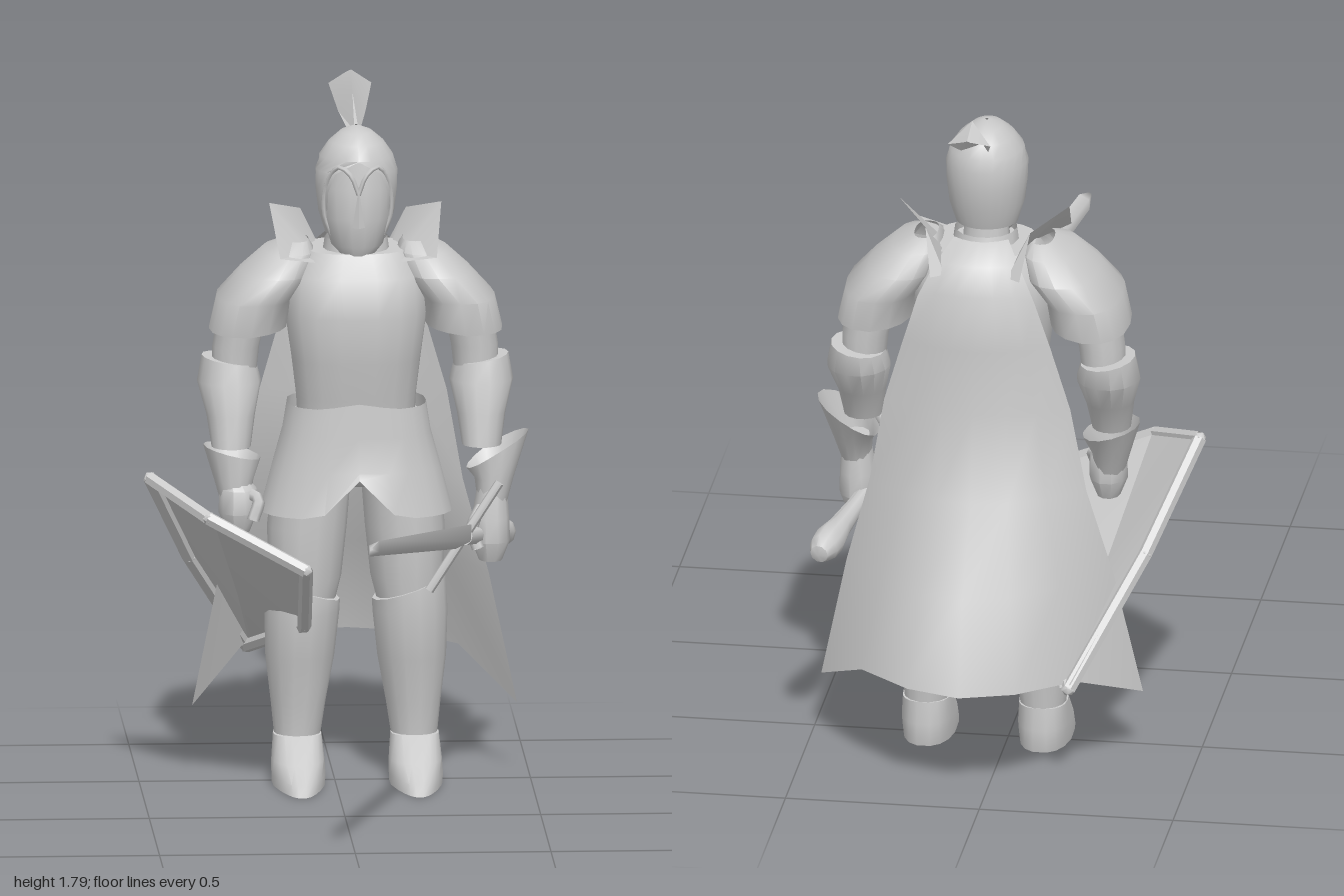
import * as THREE from 'three';
import { toCreasedNormals } from 'three/addons/utils/BufferGeometryUtils.js';

const CX = 0.055; // body centre line
const mat = new THREE.MeshStandardMaterial({ color: 0xcccccc, side: THREE.DoubleSide });
const V = (x, y, z) => new THREE.Vector3(x, y, z);

function add(parent, name, geo, crease = 0.8) {
  const mesh = new THREE.Mesh(crease ? toCreasedNormals(geo, crease) : geo, mat);
  mesh.name = name;
  parent.add(mesh);
  return mesh;
}

// Surface through rows of points; caps close the first and last rows
function grid(rows, caps = false) {
  const n = rows[0].length, pos = [], idx = [];
  rows.forEach(r => r.forEach(p => pos.push(p.x, p.y, p.z)));
  for (let i = 0; i < rows.length - 1; i++) {
    for (let j = 0; j < n - 1; j++) {
      const a = i * n + j, b = a + 1, c = a + n, d = c + 1;
      idx.push(b, a, c, b, c, d);
    }
  }
  if (caps) [0, rows.length - 1].forEach((i, top) => {
    const m = rows[i].reduce((s, p) => s.add(p), V(0, 0, 0)).divideScalar(n);
    const k = pos.length / 3;
    pos.push(m.x, m.y, m.z);
    for (let j = 0; j < n - 1; j++) {
      const a = i * n + j;
      if (top) idx.push(a + 1, a, k); else idx.push(a, a + 1, k);
    }
  });
  const g = new THREE.BufferGeometry();
  g.setAttribute('position', new THREE.Float32BufferAttribute(pos, 3));
  g.setIndex(idx);
  return g;
}

// Rings listed bottom to top: [y, centre x, half width, front z, back z]
function loft(rings, { n = 14, pow = 1, caps = true, edit } = {}) {
  const sp = (v, p) => Math.sign(v) * Math.pow(Math.abs(v), p);
  return grid(rings.map(([y, x, w, zf, zb], i) => Array.from({ length: n + 1 }, (_, j) => {
    const a = (j % n) / n * Math.PI * 2;
    const p = V(x + w * sp(Math.cos(a), pow), y, (zf + zb) / 2 + (zf - zb) / 2 * sp(Math.sin(a), pow));
    if (edit) edit(p, i);
    return p;
  })), caps);
}

function tube(points, r, sides = 5, seg = 16) {
  return new THREE.TubeGeometry(new THREE.CatmullRomCurve3(points), seg, r, sides);
}

function buildHead(g) {
  add(g, 'face', loft([
    [1.37, CX, 0.04, -0.41, -0.50], [1.40, CX, 0.066, -0.395, -0.53],
    [1.47, CX, 0.086, -0.385, -0.57], [1.55, CX, 0.092, -0.385, -0.58], [1.62, CX, 0.08, -0.395, -0.57]]));
  add(g, 'nose', new THREE.ConeGeometry(0.016, 0.1, 4).translate(CX, 1.505, -0.382));
  // Helmet shell, opened around the face: [y, half width, front z, back z, opening angle]
  const shell = [
    [1.425, 0.08, -0.42, -0.58, 0.95], [1.48, 0.097, -0.40, -0.60, 0.92], [1.54, 0.104, -0.382, -0.612, 0.82],
    [1.59, 0.105, -0.38, -0.615, 0.6], [1.625, 0.095, -0.385, -0.61, 0], [1.66, 0.07, -0.41, -0.595, 0],
    [1.685, 0.04, -0.445, -0.565, 0], [1.7, 0.004, -0.50, -0.51, 0]];
  add(g, 'helmet', grid(shell.map(([y, w, zf, zb, o]) => Array.from({ length: 19 }, (_, j) => {
    const a = Math.PI / 2 + o + (Math.PI * 2 - 2 * o) * j / 18;
    return V(CX + w * Math.cos(a), y, (zf + zb) / 2 + (zf - zb) / 2 * Math.sin(a));
  }))), 1.2);
  for (const s of [-1, 1]) add(g, 'helmetRim', tube([
    V(CX, 1.54, -0.384), V(CX + s * 0.02, 1.59, -0.385), V(CX + s * 0.05, 1.61, -0.398),
    V(CX + s * 0.08, 1.56, -0.427), V(CX + s * 0.085, 1.48, -0.443), V(CX + s * 0.066, 1.425, -0.452)], 0.006), 0);
  // Folded feather, ridge along the middle
  const leaf = [[0.012, 1.668, -0.59, 1.66, -0.59], [0.035, 1.75, -0.69, 1.695, -0.715],
    [0.055, 1.795, -0.755, 1.75, -0.81], [0.008, 1.775, -0.845, 1.772, -0.845]];
  add(g, 'plume', grid(leaf.map(([w, y, z, ys, zs]) => [V(CX - w, ys, zs), V(CX, y, z), V(CX + w, ys, zs)])), 0.4);
}

function buildTorso(g) {
  add(g, 'breastplate', loft([
    [0.94, CX, 0.15, -0.40, -0.64], [1.0, CX, 0.153, -0.39, -0.64], [1.1, CX, 0.165, -0.365, -0.66],
    [1.22, CX, 0.182, -0.352, -0.69], [1.32, CX, 0.175, -0.365, -0.69], [1.38, CX, 0.13, -0.41, -0.66]],
  { n: 18, pow: 0.75 }));
  add(g, 'collar', loft([[1.34, CX, 0.09, -0.41, -0.62], [1.41, CX, 0.08, -0.43, -0.60]], { caps: false }));
  add(g, 'neck', new THREE.CylinderGeometry(0.055, 0.065, 0.12, 10).translate(CX, 1.39, -0.51));
  // Flared skirt, notched at the centre of front and back
  add(g, 'skirt', loft([
    [0.705, CX, 0.245, -0.335, -0.69], [0.82, CX, 0.215, -0.35, -0.67],
    [0.91, CX, 0.19, -0.355, -0.66], [0.985, CX, 0.178, -0.36, -0.65]],
  { n: 24, pow: 0.75, caps: false, edit: (p, i) => {
    const c = Math.max(0, 1 - Math.abs(p.x - CX) / 0.1);
    if (i === 0) p.y += 0.1 * c;
    if (i === 3) p.y += 0.015 * c;
  } }));
  add(g, 'hips', loft([[0.77, CX, 0.1, -0.44, -0.60], [0.82, CX, 0.18, -0.39, -0.65], [0.96, CX, 0.165, -0.38, -0.64]]));
}

function buildLeg(g, s) {
  const x = d => CX + s * d;
  add(g, 'boot', loft([
    [0, x(0.15), 0.07, -0.245, -0.60], [0.025, x(0.15), 0.07, -0.28, -0.605],
    [0.06, x(0.15), 0.068, -0.37, -0.605], [0.12, x(0.15), 0.062, -0.45, -0.60]],
  { n: 18, pow: 0.8, edit: p => { // toe narrows to a point
    const t = Math.max(0, (p.z + 0.45) / 0.21);
    p.x = x(0.15) + (p.x - x(0.15)) * (1 - 0.5 * t);
  } }));
  add(g, 'greave', loft([
    [0.09, x(0.15), 0.056, -0.465, -0.595], [0.2, x(0.147), 0.07, -0.455, -0.61],
    [0.32, x(0.143), 0.088, -0.425, -0.63], [0.44, x(0.138), 0.096, -0.405, -0.63],
    [0.5, x(0.135), 0.094, -0.405, -0.62]],
  { edit: (p, i) => { if (i === 4) p.y += 0.03 * s * (p.x - x(0.135)) / 0.09; } }));
  add(g, 'thigh', loft([
    [0.46, x(0.135), 0.08, -0.42, -0.61], [0.53, x(0.13), 0.093, -0.41, -0.635],
    [0.66, x(0.125), 0.102, -0.40, -0.645], [0.82, x(0.11), 0.1, -0.40, -0.645]]));
}

function buildArm(g, s) {
  const x = d => CX + s * d, h = s > 0 ? 0.025 : -0.01, drop = s > 0 ? 0 : 0.08;
  add(g, 'upperArm', loft([
    [1.03, x(0.31), 0.055, -0.49, -0.62], [1.12, x(0.305), 0.06, -0.485, -0.63], [1.25, x(0.28), 0.065, -0.47, -0.63]]));
  add(g, 'vambrace', loft([
    [0.87, x(0.32), 0.05, -0.435, -0.55], [0.95, x(0.32), 0.062, -0.445, -0.59],
    [1.03, x(0.322), 0.082, -0.46, -0.655], [1.085, x(0.322), 0.07, -0.475, -0.66]],
  { edit: (p, i) => { if (i === 3) p.y += 0.15 * s * (p.x - x(0.325)); } }));
  // Gauntlet cuff rises to a point on the outside
  const flare = s > 0 ? 0.7 : 0.25;
  add(g, 'gauntletCuff', loft([
    [0.73, x(0.32 + h), 0.038, -0.40, -0.50], [0.79, x(0.325 + h), 0.05, -0.395, -0.53],
    [0.86, x(0.325 + h), 0.07, -0.395, -0.575]],
  { caps: false, edit: (p, i) => {
    const o = s * (p.x - x(0.325 + h));
    if (i === 2) { p.y += flare * o; p.x += s * Math.max(0, o) * 0.4 * flare; }
  } }));
  add(g, 'hand', loft([
    [0.58 + drop, x(0.315 + h), 0.03, -0.40, -0.48], [0.63 + drop, x(0.315 + h), 0.05, -0.38, -0.505],
    [0.69 + drop, x(0.315 + h), 0.048, -0.385, -0.505], [0.79, x(0.32 + h), 0.035, -0.405, -0.50]], { n: 10 }));
  add(g, 'thumb', tube([V(x(0.29 + h), 0.72 + drop / 2, -0.42), V(x(0.265 + h), 0.67 + drop, -0.39),
    V(x(0.28 + h), 0.62 + drop, -0.375)], 0.016, 6, 6), 0);
  add(g, 'pauldron', loft([
    [1.17, x(0.275), 0.1, -0.385, -0.69], [1.255, x(0.26), 0.095, -0.37, -0.705],
    [1.32, x(0.205), 0.09, -0.38, -0.70], [1.375, x(0.17), 0.065, -0.42, -0.66],
    [1.4, x(0.15), 0.03, -0.48, -0.60]],
  { n: 16, pow: 0.8, caps: false, edit: (p, i) => { if (i === 0) p.y += 0.15 * Math.max(0, s * (x(0.275) - p.x)); } }));
  // Upright neck guard, spreading outward toward the front
  add(g, 'shoulderGuard', grid([
    [V(x(0.11), 1.36, -0.41), V(x(0.12), 1.37, -0.5), V(x(0.095), 1.37, -0.6), V(x(0.08), 1.34, -0.69)],
    [V(x(0.2), 1.375, -0.385), V(x(0.22), 1.49, -0.55), V(x(0.135), 1.455, -0.66), V(x(0.115), 1.34, -0.715)]]), 0.5);
}

function buildCape(g) {
  // [y, half width, centre z, edge z, edge drop]
  const rows = [[0.3, 0.415, -0.995, -0.585, 0.12], [0.54, 0.345, -0.925, -0.62, 0.03], [0.75, 0.28, -0.785, -0.655, 0],
    [0.98, 0.24, -0.745, -0.67, 0], [1.15, 0.19, -0.742, -0.68, 0], [1.3, 0.15, -0.74, -0.695, 0.02],
    [1.37, 0.11, -0.705, -0.67, 0.01], [1.41, 0.07, -0.63, -0.6, 0]];
  add(g, 'cape', grid(rows.map(([y, w, zc, ze, d]) => Array.from({ length: 7 }, (_, j) => {
    const t = j / 3 - 1, u = Math.abs(t);
    return V(CX + w * t, y - d * u ** 6, zc + (ze - zc) * u ** 2);
  }))), 0.9);
}

function buildShield(g) {
  // Long tapered shield, slanting back past the leg and through the cape
  const top = [V(-0.47, 0.815, -0.40), V(-0.33, 0.745, -0.215), V(-0.085, 0.62, -0.14)];
  const middle = [V(-0.36, 0.57, -0.60), V(-0.25, 0.49, -0.47), V(-0.075, 0.425, -0.41)];
  const tip = [V(-0.215, 0.3, -0.86), V(-0.2, 0.29, -0.855), V(-0.185, 0.285, -0.85)];
  const shield = new THREE.Group();
  shield.name = 'shield';
  add(shield, 'shieldPlate', grid([tip, middle, top]), 0.3);
  // Raised rim made of straight bars, set toward the outer face
  const out = V(-0.6, -0.65, 0.45).multiplyScalar(0.012);
  const loop = [...top, middle[2], tip[1], middle[0]].map(p => p.clone().add(out));
  loop.forEach((p, i) => {
    const line = new THREE.LineCurve3(p, loop[(i + 1) % loop.length]);
    add(shield, 'shieldRim', new THREE.TubeGeometry(line, 1, 0.018, 6), 0.3);
    add(shield, 'shieldCorner', new THREE.IcosahedronGeometry(0.018, 0).translate(p.x, p.y, p.z));
  });
  g.add(shield);
}

function buildSword(g) {
  // Local frame: y along the blade, x along the guard, origin at the guard
  const sword = new THREE.Group();
  sword.name = 'sword';
  const diamond = (y, w, t) => [V(w, y, 0), V(0, y, t), V(-w, y, 0), V(0, y, -t), V(w, y, 0)];
  add(sword, 'blade', grid([diamond(0, 0.038, 0.022), diamond(1.26, 0.024, 0.016), diamond(1.3, 0.006, 0.004)], true), 1.4);
  add(sword, 'crossGuard', new THREE.CylinderGeometry(0.012, 0.012, 0.33, 8).rotateZ(Math.PI / 2));
  add(sword, 'gripAndPommel', new THREE.LatheGeometry([
    [0, -0.56], [0.024, -0.552], [0.038, -0.52], [0.041, -0.48], [0.03, -0.41], [0.023, -0.3], [0.023, 0.01], [0, 0.01],
  ].map(p => new THREE.Vector2(...p)), 10));
  const y = V(-0.425, 0.295, 1.75).normalize();
  const x = V(0.18, 0.28, 0).addScaledVector(y, -V(0.18, 0.28, 0).dot(y)).normalize();
  sword.quaternion.setFromRotationMatrix(new THREE.Matrix4().makeBasis(x, y, x.clone().cross(y)));
  sword.position.set(0.318, 0.676, -0.25);
  g.add(sword);
}

export function createModel() {
  const knight = new THREE.Group();
  knight.name = 'knight';
  buildHead(knight);
  buildTorso(knight);
  for (const s of [-1, 1]) {
    buildLeg(knight, s);
    buildArm(knight, s);
  }
  buildCape(knight);
  buildShield(knight);
  buildSword(knight);
  return knight;
}
